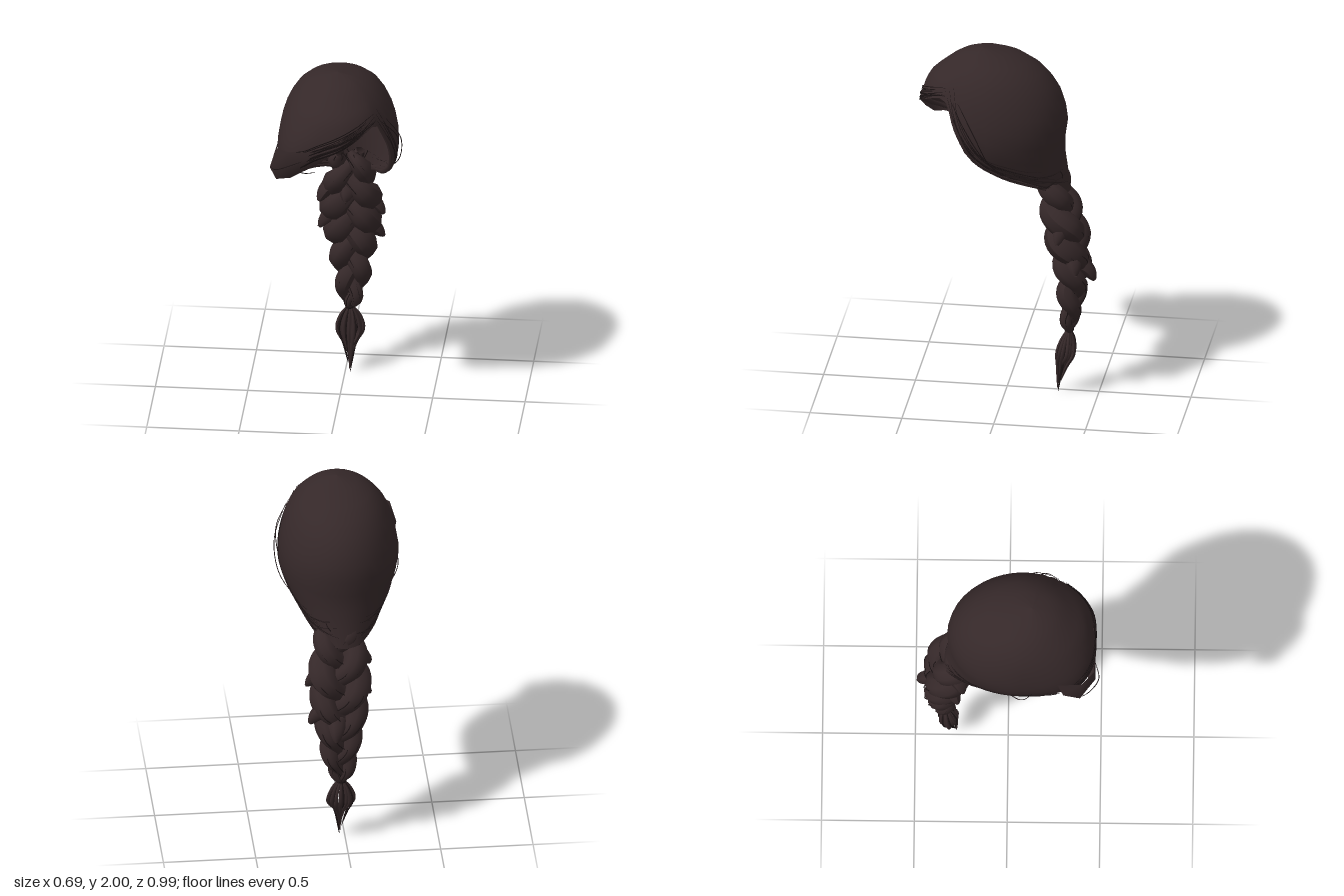
import * as THREE from 'three';

const V = (x, y, z) => new THREE.Vector3(x, y, z);

// Linear lookup in rows of [key, value, value...]
function lookup(rows, k) {
  const up = rows[0][0] < rows[1][0];
  let i = 0;
  while (i < rows.length - 2 && (up ? k > rows[i + 1][0] : k < rows[i + 1][0])) i++;
  const a = rows[i], b = rows[i + 1];
  const t = THREE.MathUtils.clamp((k - a[0]) / (b[0] - a[0]), 0, 1);
  return a.slice(1).map((v, j) => v + (b[j + 1] - v) * t);
}

// Scalp sections: height, half width, back z, front z
const SCALP = [
  [2, 0, 0.13, 0.13], [1.99, 0.08, 0.04, 0.19], [1.97, 0.13, -0.04, 0.25], [1.94, 0.18, -0.11, 0.3],
  [1.9, 0.22, -0.18, 0.35], [1.85, 0.255, -0.23, 0.41], [1.8, 0.28, -0.27, 0.44], [1.72, 0.305, -0.31, 0.465],
  [1.6, 0.326, -0.33, 0.47], [1.5, 0.318, -0.315, 0.455], [1.4, 0.275, -0.315, 0.38], [1.3, 0.21, -0.33, 0.2],
  [1.2, 0.14, -0.345, -0.12]];

// Hairline: degrees round from the nape by way of the left side, height
const HAIRLINE = [
  [0, 1.19], [30, 1.2], [60, 1.23], [90, 1.32], [100, 1.41], [110, 1.53], [119, 1.68], [128, 1.79],
  [140, 1.77], [160, 1.72], [180, 1.66], [200, 1.57], [225, 1.51], [237, 1.47], [254, 1.45], [265, 1.38],
  [280, 1.29], [300, 1.24], [330, 1.2], [360, 1.19]];
const hairline = (deg) => lookup(HAIRLINE, deg)[0];

// Point on the scalp surface, fuller at the front right corner
function scalp(deg, y, lift = 0) {
  const [w, back, front] = lookup(SCALP, y);
  const a = THREE.MathUtils.degToRad(deg);
  let s = Math.sin(a), c = Math.cos(a);
  if (s < 0 && c < 0) {
    const e = 1 - 0.38 * THREE.MathUtils.smoothstep(1.9 - y, 0, 0.3);
    s = -Math.pow(-s, e);
    c = -Math.pow(-c, e);
  }
  return V((w + lift) * s, y, (front + back) / 2 - ((front - back) / 2 + lift) * c);
}

function seeded(seed) {
  return () => ((seed = (seed * 16807) % 2147483647) / 2147483647);
}

// Tube whose radius follows radius(t)
function lock(points, radius, seg, sides) {
  const curve = new THREE.CatmullRomCurve3(points);
  const g = new THREE.TubeGeometry(curve, seg, 1, sides, false);
  const p = g.attributes.position, v = V(0, 0, 0);
  for (let i = 0; i <= seg; i++) {
    const c = curve.getPointAt(i / seg), r = radius(i / seg);
    for (let j = 0; j <= sides; j++) {
      const k = i * (sides + 1) + j;
      v.fromBufferAttribute(p, k).sub(c).multiplyScalar(r).add(c);
      p.setXYZ(k, v.x, v.y, v.z);
    }
  }
  g.computeVertexNormals();
  return g;
}
const taper = (r) => (t) => r * Math.sqrt(Math.sin(Math.PI * (0.02 + 0.96 * t)));

export function createModel() {
  const model = new THREE.Group();
  const hair = new THREE.MeshStandardMaterial({ color: 0x352829, side: THREE.DoubleSide });
  hair.name = 'dark brown hair';
  const dark = new THREE.MeshStandardMaterial({ color: 0x1c1415, side: THREE.DoubleSide });
  dark.name = 'near black strands';
  const rnd = seeded(77);

  const group = (name) => {
    const g = new THREE.Group();
    g.name = name;
    model.add(g);
    return g;
  };
  const add = (parent, name, geometry, material) => {
    const m = new THREE.Mesh(geometry, material);
    m.name = name;
    parent.add(m);
  };

  // Cap: grid from the crown down to the hairline
  const cols = 40, rows = 11, pos = [], idx = [];
  for (let r = 0; r <= rows; r++) {
    for (let c = 0; c < cols; c++) {
      const deg = (c / cols) * 360;
      const p = scalp(deg, 2 - (2 - hairline(deg)) * Math.pow(r / rows, 1.5));
      pos.push(p.x, p.y, p.z);
      if (r < rows) {
        const a = r * cols + c, b = r * cols + (c + 1) % cols;
        idx.push(a, b, a + cols, b, b + cols, a + cols);
      }
    }
  }
  const cap = new THREE.BufferGeometry();
  cap.setAttribute('position', new THREE.Float32BufferAttribute(pos, 3));
  cap.setIndex(idx);
  cap.computeVertexNormals();
  add(model, 'cap', cap, hair);

  // Path over the scalp, a given height above the hairline
  const overScalp = (d0, d1, h0, h1, lift) => {
    const pts = [];
    for (let i = 0; i <= 10; i++) {
      const t = i / 10, d = d0 + (d1 - d0) * t;
      pts.push(scalp(d, Math.min(1.95, hairline(d) + h0 + (h1 - h0) * t), lift));
    }
    return pts;
  };

  // Swept fringe from the parting to the right temple
  const fringe = group('fringe');
  for (let i = 0; i < 3; i++)
    add(fringe, 'fringeLock', lock(overScalp(130, 238 + i * 3, 0.01 + i * 0.012, 0.015 + i * 0.035, -0.01),
      taper(0.016), 24, 6), hair);
  for (let i = 0; i < 18; i++)
    add(fringe, 'fringeStrand', lock(overScalp(128 + rnd() * 25, 215 + rnd() * 30, rnd() * 0.05,
      rnd() * 0.13, 0.002 + rnd() * 0.006), taper(0.003), 20, 3), dark);

  // Flared corner where the fringe ends
  const flare = new THREE.BufferGeometry();
  flare.setAttribute('position', new THREE.Float32BufferAttribute([
    -0.31, 1.64, 0.27, -0.31, 1.66, 0.4, -0.24, 1.67, 0.465, -0.04, 1.68, 0.47,
    -0.325, 1.53, 0.3, -0.345, 1.54, 0.39, -0.25, 1.58, 0.472, -0.04, 1.64, 0.47,
    -0.3, 1.46, 0.3, -0.31, 1.47, 0.39, -0.23, 1.5, 0.43, -0.06, 1.61, 0.455], 3));
  flare.setIndex([0, 4, 8].slice(0, 2).flatMap((r) => [0, 1, 2].flatMap((c) => {
    const a = r + c;
    return [a, a + 4, a + 1, a + 1, a + 4, a + 5];
  })));
  flare.computeVertexNormals();
  add(fringe, 'fringeFlare', flare, hair);

  // Side hair swept back to the nape
  const sides = group('sideHair');
  for (const left of [true, false]) {
    const at = (d) => (left ? d : 360 - d);
    const start = left ? 126 : 118;
    for (let i = 0; i < 2; i++)
      add(sides, 'edgeLock', lock(overScalp(at(start - i * 3), at(14 + i * 5), 0.01 + i * 0.02, 0.02 + i * 0.02, -0.008),
        taper(0.015), 24, 6), hair);
    for (let i = 0; i < 16; i++)
      add(sides, 'sideStrand', lock(overScalp(at(start - rnd() * 55), at(10 + rnd() * 45), rnd() * 0.14, rnd() * 0.16,
        0.001 + rnd() * 0.004), taper(0.0028), 20, 3), dark);
  }

  // Loose hairs at the temples
  const loose = group('looseHair');
  for (const pts of [
    [V(-0.34, 1.54, 0.39), V(-0.31, 1.55, 0.44), V(-0.25, 1.59, 0.49), V(-0.16, 1.62, 0.47)],
    [V(0.27, 1.78, 0.23), V(0.34, 1.62, 0.13), V(0.32, 1.45, 0.05), V(0.22, 1.33, -0.06)],
    [V(0.25, 1.78, 0.27), V(0.325, 1.66, 0.19), V(0.31, 1.5, 0.1), V(0.24, 1.36, 0)],
    [V(0.24, 1.77, 0.28), V(0.3, 1.62, 0.22), V(0.3, 1.48, 0.12), V(0.22, 1.34, 0)],
    [V(-0.31, 1.55, 0.15), V(-0.325, 1.45, 0.08), V(-0.22, 1.31, -0.03), V(-0.14, 1.23, -0.2)]])
    add(loose, 'looseStrand', lock(pts, taper(0.003), 18, 3), dark);

  // Braid: height, centre x, centre z, half sway, strand radius
  const BRAID = [
    [1.36, 0.03, -0.24, 0.06, 0.045], [1.2, 0.03, -0.262, 0.08, 0.062], [1, 0.03, -0.325, 0.097, 0.08],
    [0.85, 0.03, -0.355, 0.087, 0.078], [0.7, 0.03, -0.37, 0.072, 0.067], [0.52, 0.03, -0.355, 0.052, 0.052],
    [0.42, 0.025, -0.345, 0.037, 0.037], [0.36, 0.02, -0.34, 0.008, 0.014]];
  const braid = group('braid');
  const STEPS = 60, heightAt = (t) => 1.34 - 0.98 * t;
  for (let k = 0; k < 3; k++) {
    const phase = (t) => t * 12.4 + (k * Math.PI * 2) / 3;
    const path = (around, scale) => Array.from({ length: STEPS + 1 }, (_, i) => {
      const t = i / STEPS, [cx, cz, sway, r] = lookup(BRAID, heightAt(t)), p = phase(t);
      return V(cx + sway * Math.sin(p) + Math.cos(around) * r * scale, heightAt(t),
        cz + sway * 0.47 * Math.sin(2 * p) + Math.sin(around) * r * scale);
    });
    const radius = (t) => lookup(BRAID, heightAt(t))[3] * (0.76 + 0.26 * Math.sin(phase(t)) ** 2)
      * Math.min(1, 0.5 + t * 12);
    add(braid, 'braidStrand', lock(path(0, 0), radius, 84, 9), hair);
    for (let i = 0; i < 6; i++)
      add(braid, 'braidHair', lock(path(i * 1.047 + k, 0.84), () => 0.003, 70, 3), dark);
  }

  // Pointed ends poking out of the braid
  for (const [x, y, z, dx, dy, dz] of [
    [0.1, 1.04, -0.33, 0.11, -0.09, 0.03], [0.1, 0.85, -0.37, 0.1, -0.08, -0.03], [-0.06, 1.13, -0.29, -0.08, -0.09, 0.05],
    [-0.05, 0.95, -0.33, -0.09, -0.08, 0.06], [0.05, 0.78, -0.4, 0.01, -0.09, -0.085], [0.02, 1.12, -0.27, -0.01, -0.06, 0.075]])
    add(braid, 'braidTip', lock([V(x, y, z), V(x + dx * 0.6, y + dy * 0.4, z + dz * 0.6), V(x + dx, y + dy, z + dz)],
      (t) => 0.055 * Math.sqrt(1 - t * 0.97), 8, 6), hair);

  // Band and tail
  const tail = group('tail');
  const band = new THREE.TorusGeometry(0.017, 0.01, 6, 14);
  band.rotateX(Math.PI / 2).translate(0.02, 0.37, -0.34);
  add(tail, 'tailBand', band, dark);
  for (let i = 0; i < 22; i++) {
    const a = i * 2.4, s = 0.65 + rnd() * 0.35, end = i === 0 ? 0.004 : 0.02 + rnd() * 0.15;
    const at = (y, z, w) => V(0.022 + Math.cos(a) * w * s, y, z + Math.sin(a) * w * 0.65 * s);
    add(tail, 'tailStrand', lock([at(0.38, -0.34, 0.008), at(0.31, -0.335, 0.06), at(0.24, -0.325, 0.077),
      at(0.14 + end * 0.3, -0.305, 0.042), at(end, -0.28 - end * 0.15, 0.008)],
      taper(i % 3 ? 0.01 : 0.005), 16, 4), i % 3 ? hair : dark);
  }
  return model;
}
